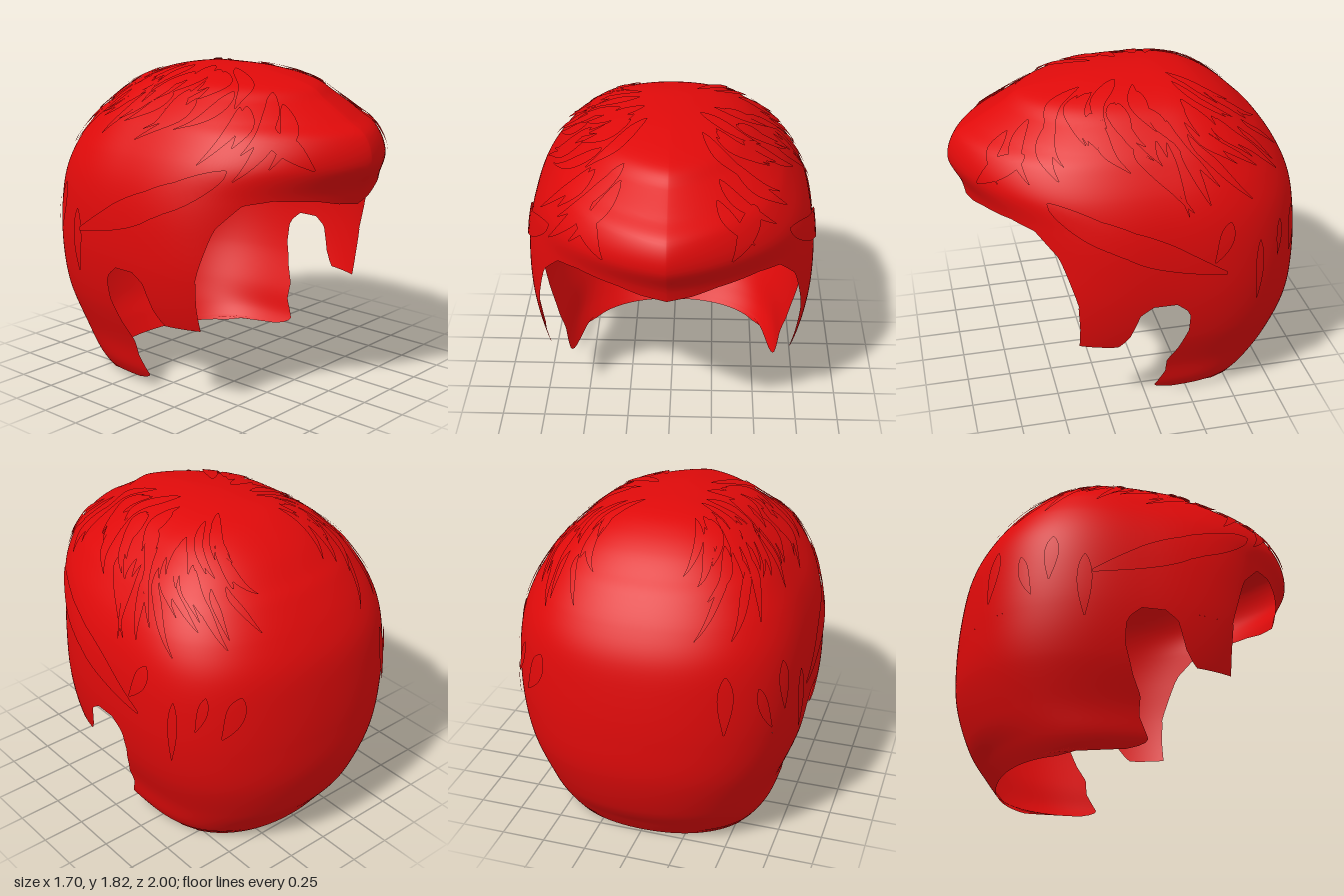
import * as THREE from 'three';

// Horizontal rings from crown to nape: [height, front z, back z, half width]
const RINGS = [
  [1.822, -0.1, -0.1, 0], [1.815, 0.14, -0.22, 0.12], [1.79, 0.35, -0.36, 0.27],
  [1.74, 0.58, -0.48, 0.4], [1.67, 0.69, -0.59, 0.5], [1.58, 0.84, -0.69, 0.6],
  [1.5, 0.96, -0.77, 0.665], [1.36, 1.0, -0.87, 0.75], [1.2, 0.93, -0.945, 0.805],
  [1.0, 0.9, -0.98, 0.83], [0.75, 0.9, -0.995, 0.825], [0.5, 0.88, -0.98, 0.78],
  [0.25, 0.85, -0.9, 0.69], [0.1, 0.8, -0.8, 0.65], [0.0, 0.75, -0.73, 0.59],
];
const LAST = RINGS.length - 1, CZ = -0.1;
const heightWidth = new THREE.SplineCurve(RINGS.map(r => new THREE.Vector2(r[0], r[3])));
const frontBack = new THREE.SplineCurve(RINGS.map(r => new THREE.Vector2(r[1], r[2])));
const clamp = THREE.MathUtils.clamp, lerp = THREE.MathUtils.lerp;

// Point on the hair shell: a = angle from the front towards +x, k = ring position
function surface(a, k) {
  const t = clamp(k / LAST, 0, 1);
  const hw = heightWidth.getPoint(t), fb = frontBack.getPoint(t);
  const c = Math.cos(a), front = c > 0;
  const bulge = Math.pow(Math.max(0, 1 - Math.abs(c) ** 3), front ? 0.74 : 0.47);
  const depth = front ? fb.x - CZ : CZ - fb.y;
  return new THREE.Vector3(Math.sign(Math.sin(a)) * hw.y * bulge, hw.x, CZ + depth * c);
}

function normalAt(a, k) {
  const e = 0.02;
  const da = surface(a + e, k).sub(surface(a - e, k));
  const dk = surface(a, k + e).sub(surface(a, k - e));
  const n = dk.cross(da);
  return k < 0.05 || n.lengthSq() < 1e-14 ? new THREE.Vector3(0, 1, 0) : n.normalize();
}

// Ring position for a given height
function ringAt(y) {
  let lo = 0, hi = LAST;
  for (let i = 0; i < 30; i++) {
    const m = (lo + hi) / 2;
    if (heightWidth.getPoint(m / LAST).x > y) lo = m; else hi = m;
  }
  return (lo + hi) / 2;
}

// Angle at which a given ring reaches depth z
function angleAt(z, k) {
  const fb = frontBack.getPoint(k / LAST);
  const depth = z > CZ ? fb.x - CZ : CZ - fb.y;
  return Math.acos(clamp((z - CZ) / depth, -1, 1));
}

// Piecewise linear lookup in [[x, value], ...] with rising x
function lookup(table, x) {
  for (let i = 1; i < table.length; i++) {
    const [x0, v0] = table[i - 1], [x1, v1] = table[i];
    if (x <= x1) return lerp(v0, v1, clamp((x - x0) / (x1 - x0), 0, 1));
  }
  return table[table.length - 1][1];
}

// Grid patch on the shell; at(u, v) returns [a, k, lift]
function patch(name, nu, nv, at, material) {
  const pos = [], nor = [], idx = [];
  for (let j = 0; j <= nv; j++) for (let i = 0; i <= nu; i++) {
    const [a, k, lift = 0] = at(i / nu, j / nv);
    const n = normalAt(a, k);
    pos.push(...surface(a, k).addScaledVector(n, lift).toArray());
    nor.push(...n.toArray());
    if (i < nu && j < nv) {
      const p = j * (nu + 1) + i, q = p + nu + 1;
      idx.push(p, q, p + 1, p + 1, q, q + 1);
    }
  }
  const g = new THREE.BufferGeometry();
  g.setAttribute('position', new THREE.Float32BufferAttribute(pos, 3));
  g.setAttribute('normal', new THREE.Float32BufferAttribute(nor, 3));
  g.setIndex(idx);
  const mesh = new THREE.Mesh(g, material);
  mesh.name = name;
  return mesh;
}

// Tapered strand lying just above the shell from (a0, k0) to (a1, k1)
function lock(name, a0, k0, a1, k1, width, lift, tip, material) {
  return patch(name, 2, 14, (u, v) => {
    const a = lerp(a0, a1, v * v * 0.5 + v * 0.5), k = lerp(k0, k1, v);
    const R = Math.max(0.15, heightWidth.getPoint(k / LAST).y), K = 0.16;
    const d = new THREE.Vector2((a1 - a0) * (0.5 + v) * R, (k1 - k0) * K).normalize();
    const s = (u - 0.5) * width * (0.1 + Math.sin(Math.PI * Math.pow(v, 0.8)));
    return [a + d.y * s / R, k - d.x * s / K, lift + tip * v * v];
  }, material);
}

// Hem heights by angle, then the edges of sideburn and nape by height
const CAP_END = 0.75;
const HEM = [[0, 1.13], [0.25, 1.15], [0.4, 1.18], [0.65, 1.2], [0.8, 1.18],
  [0.93, 1.05], [1.02, 0.82], [1.035, CAP_END]];
const BURN_FRONT = [[0.46, 0.4], [0.6, 0.4], [0.75, 0.41]];
const BURN_REAR = [[0.46, 0.2], [0.49, 0.17], [0.55, 0.13], [0.7, 0.08], [0.75, 0.01]];
const NAPE_FRONT = [[0.015, -0.5], [0.04, -0.12], [0.08, -0.04], [0.2, -0.1], [0.3, -0.1],
  [0.4, -0.15], [0.55, -0.2], [0.66, -0.2], [0.7, -0.18], [0.75, -0.12]];

export function createModel() {
  const group = new THREE.Group();
  group.name = 'hair';
  const red = new THREE.MeshStandardMaterial({ color: 0xdf0a0a, side: THREE.DoubleSide });
  red.name = 'hair red';

  // Cap with fringe
  group.add(patch('cap', 320, 56, (u, v) => {
    const a = (u * 2 - 1) * Math.PI;
    return [a, v * ringAt(lookup(HEM, Math.abs(a)))];
  }, red));

  // Sideburns and nape halves, mirrored
  for (const side of [1, -1]) {
    const label = side > 0 ? 'left' : 'right';
    const strip = (name, nu, nv, bottom, from, to) => group.add(patch(label + name, nu, nv, (u, v) => {
      const y = lerp(CAP_END, bottom, v), k = ringAt(y);
      const w = side > 0 ? u : 1 - u;
      return [side * lerp(from(y, k), to(y, k), w), k];
    }, red));
    strip('Sideburn', 10, 20, 0.465,
      (y, k) => angleAt(lookup(BURN_FRONT, y), k), (y, k) => angleAt(lookup(BURN_REAR, y), k));
    strip('Nape', 50, 44, 0.004,
      (y, k) => angleAt(lookup(NAPE_FRONT, y), k), () => Math.PI);
  }

  // Layered locks
  let seed = 7;
  const rnd = (lo, hi) => {
    seed = (seed * 16807) % 2147483647;
    return lo + (hi - lo) * seed / 2147483647;
  };
  const locks = new THREE.Group();
  locks.name = 'locks';
  for (const side of [1, -1]) {
    // Long strands radiating from the crown and curving down the sides
    for (let i = 0; i < 40; i++) {
      const a = 0.5 + 2.1 * (i + rnd(0, 1)) / 40, k = rnd(1.2, 5);
      locks.add(lock('strand', side * a, k, side * (a + rnd(0.08, 0.35)), k + rnd(1.8, 3),
        rnd(0.03, 0.065), 0.009, rnd(0, 0.01), red));
    }
    // Broad sweeps over the temples
    for (let i = 0; i < 3; i++) {
      locks.add(lock('templeSweep', side * (0.95 + i * 0.12), 7 + i * 0.4, side * (1.6 + i * 0.15),
        8.9 + i * 0.2, 0.12, 0.01, 0.004 + 0.005 * i, red));
    }
    // Loose tufts behind the ears and at the back
    for (let i = 0; i < 4; i++) {
      const a = 1.95 + i * 0.22, k = rnd(7.6, 9.6);
      locks.add(lock('tuft', side * a, k, side * (a + rnd(-0.15, 0.1)), k + rnd(0.9, 1.5),
        rnd(0.05, 0.09), 0.01, 0.01, red));
    }
    // Swept fringe ridge
    locks.add(lock('fringeLock', side * 0.75, 5.4, side * 0.5, 7, 0.1, 0.01, 0.004, red));
  }
  group.add(locks);
  return group;
}
